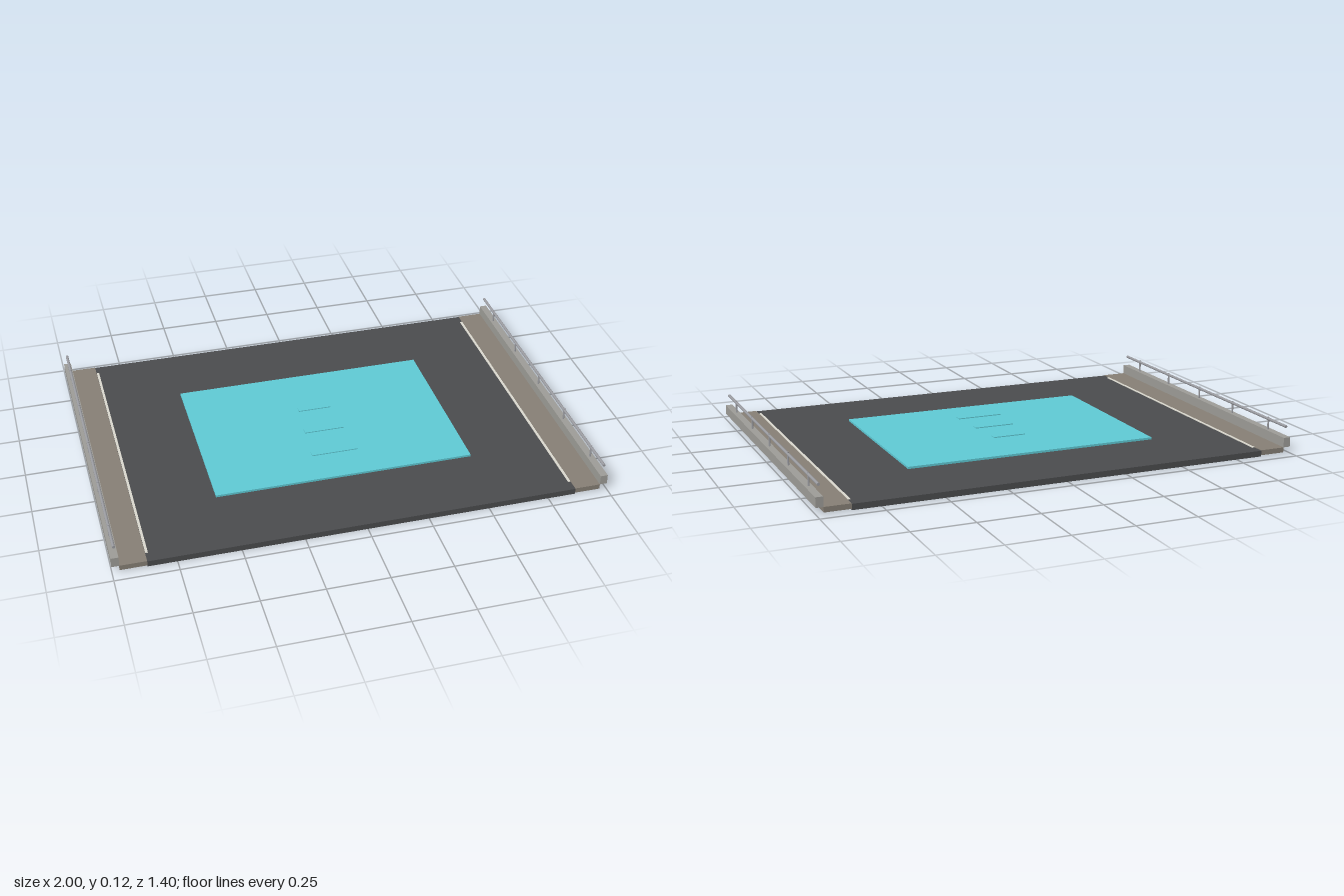
import * as THREE from 'three';

const material = (color) => new THREE.MeshStandardMaterial({ color });

export function createModel() {
  const group = new THREE.Group();
  const asphalt = material(0x4a4b4d);
  const paving = material(0x857e74);
  const concrete = material(0x9c9b96);
  const metal = material(0x9a9ba0);
  const paint = material(0xd8d6cc);
  const cyan = material(0x5ec8d3);

  // Box given by its centre in x and z, its bottom and top, and its size in x and z
  function slab(name, mat, x, z, bottom, top, width, depth) {
    const mesh = new THREE.Mesh(new THREE.BoxGeometry(width, top - bottom, depth), mat);
    mesh.position.set(x, (bottom + top) / 2, z);
    mesh.name = name;
    group.add(mesh);
  }

  // Road deck with the raised panel
  slab('deck', asphalt, 0, 0, 0, 0.024, 1.73, 1.4);
  slab('panel', cyan, 0, 0, 0.024, 0.033, 1.07, 0.76);

  // Three low bars on the panel, longer towards the front
  [[-0.122, 0.14], [0.042, 0.17], [0.207, 0.195]].forEach(([z, width]) =>
    slab('panelBar', cyan, 0, z, 0.033, 0.037, width, 0.03));

  for (const side of [-1, 1]) {
    // Edge line, sidewalk and parapet
    slab('edgeLine', paint, side * 0.859, 0, 0.024, 0.027, 0.01, 1.3);
    slab('sidewalk', paving, side * 0.9175, 0, 0.005, 0.026, 0.105, 1.4);
    slab('parapet', concrete, side * 0.985, 0, 0.026, 0.066, 0.03, 1.4);

    // Handrail on five posts
    const rail = new THREE.Mesh(new THREE.CylinderGeometry(0.006, 0.006, 1.38, 10), metal);
    rail.rotation.x = Math.PI / 2;
    rail.position.set(side * 0.984, 0.11, 0);
    rail.name = 'handrail';
    group.add(rail);
    for (let i = -2; i <= 2; i++) {
      const post = new THREE.Mesh(new THREE.CylinderGeometry(0.004, 0.004, 0.053, 8), metal);
      post.position.set(side * 0.984, 0.0915, i * 0.28);
      post.name = 'railPost';
      group.add(post);
    }
  }
  return group;
}
